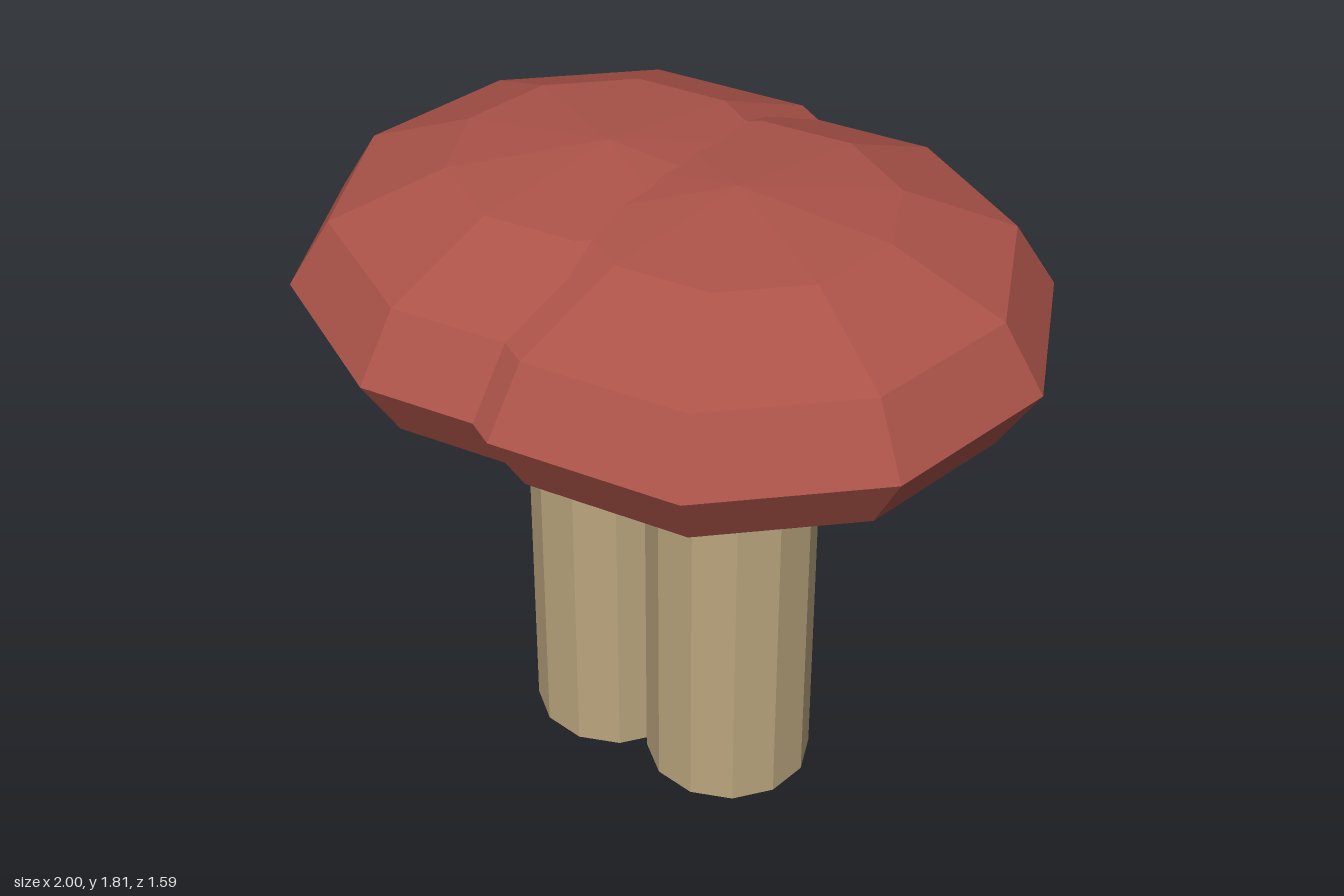
import * as THREE from 'three';

const capRed = new THREE.MeshStandardMaterial({ name: 'capRed', color: 0xac5349, flatShading: true });
const stemTan = new THREE.MeshStandardMaterial({ name: 'stemTan', color: 0xbaa57e, flatShading: true });

const CAP_Y = 1.46;
const STEM_TOP = 1.3; // ends hidden inside the cap

// One mushroom: straight twelve-sided stem under a flattened ten-sided cap
function createMushroom(name) {
  const mushroom = new THREE.Group();
  mushroom.name = name;

  const stem = new THREE.Mesh(new THREE.CylinderGeometry(0.228, 0.228, STEM_TOP, 12), stemTan);
  stem.name = 'stem';
  stem.position.y = STEM_TOP / 2;

  const capGeometry = new THREE.SphereGeometry(0.81, 10, 6);
  capGeometry.scale(1, 0.35 / 0.81, 1);
  const cap = new THREE.Mesh(capGeometry, capRed);
  cap.name = 'cap';
  cap.position.y = CAP_Y;

  mushroom.add(stem, cap);
  return mushroom;
}

export function createModel() {
  const model = new THREE.Group();
  model.name = 'twinMushroom';

  // Two merged mushrooms, slightly staggered front to back
  for (const [name, side] of [['leftMushroom', 1], ['rightMushroom', -1]]) {
    const mushroom = createMushroom(name);
    mushroom.position.set(side * 0.19, 0, side * 0.025);
    model.add(mushroom);
  }
  return model;
}
